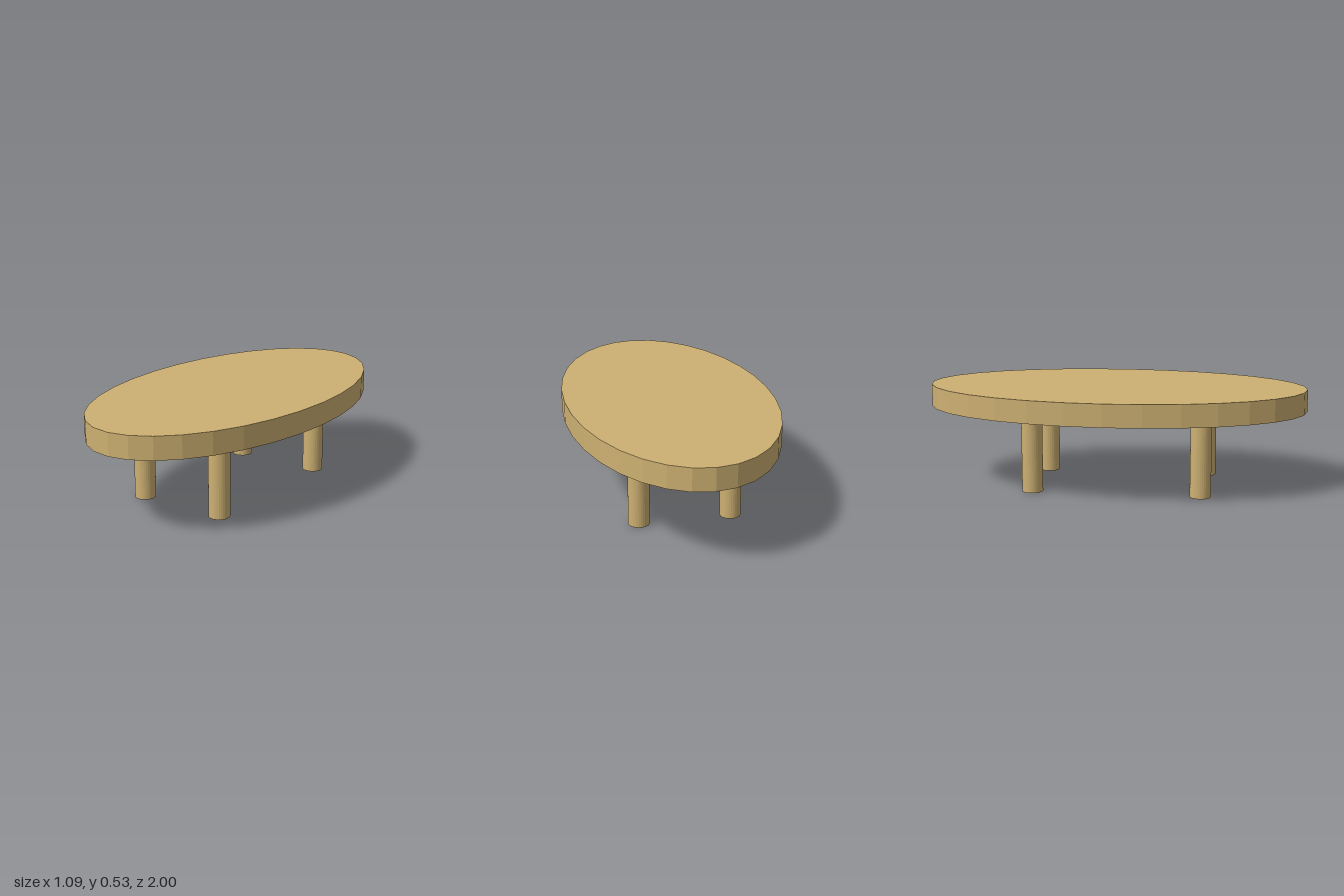
import * as THREE from 'three';

export function createModel() {
  const group = new THREE.Group();
  const wood = new THREE.MeshStandardMaterial({ color: 0xcdb072, flatShading: true });

  const legHeight = 0.412, topThickness = 0.118;

  // Oval tabletop: a 32-sided disc squeezed in x
  const topGeometry = new THREE.CylinderGeometry(1, 1, topThickness, 32);
  topGeometry.scale(0.545, 1, 1);
  const tabletop = new THREE.Mesh(topGeometry, wood);
  tabletop.name = 'tabletop';
  tabletop.position.y = legHeight + topThickness / 2;
  group.add(tabletop);

  // Four round legs, the set sitting slightly toward the front
  const legGeometry = new THREE.CylinderGeometry(0.0545, 0.0545, legHeight, 32);
  for (const [end, z] of [['front', 0.464], ['back', -0.413]]) {
    for (const [side, x] of [['Left', 0.24], ['Right', -0.237]]) {
      const leg = new THREE.Mesh(legGeometry, wood);
      leg.name = end + side + 'Leg';
      leg.position.set(x, legHeight / 2, z);
      group.add(leg);
    }
  }

  return group;
}
